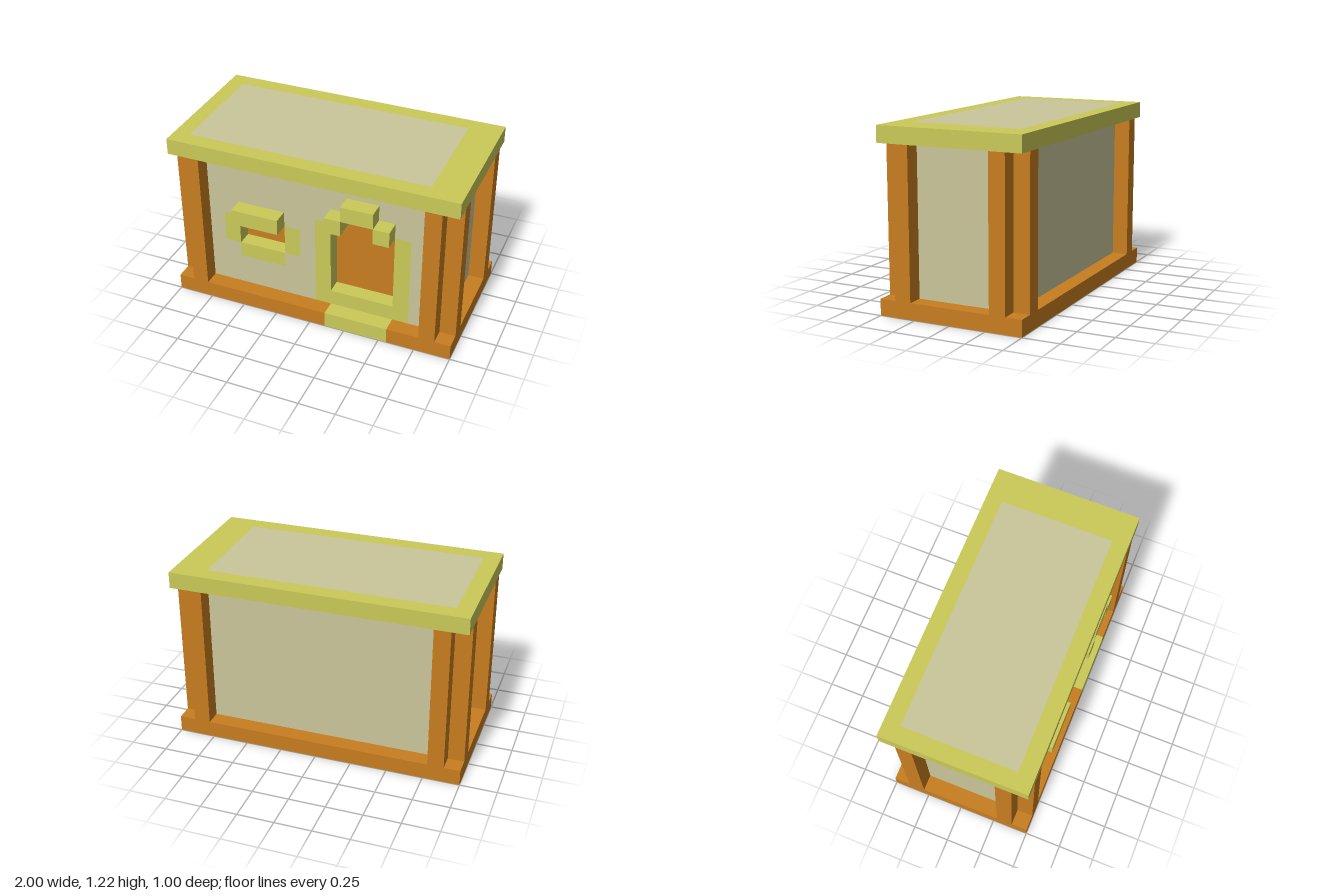
import * as THREE from 'three';

const U = 1 / 9; // block size

export function createModel() {
  const material = (name, color) => {
    const m = new THREE.MeshStandardMaterial({ color });
    m.name = name;
    return m;
  };
  const timber = material('orange timber', 0xc87d20);
  const trim = material('yellow trim', 0xcaca59);
  const plaster = material('pale plaster', 0xcac69a);

  const model = new THREE.Group();
  model.name = 'house';
  const group = (name) => {
    const g = new THREE.Group();
    g.name = name;
    model.add(g);
    return g;
  };

  // Box between two corners, in block units
  const box = (parent, name, mat, [x0, x1], [y0, y1], [z0, z1]) => {
    const geo = new THREE.BoxGeometry((x1 - x0) * U, (y1 - y0) * U, (z1 - z0) * U);
    const mesh = new THREE.Mesh(geo, mat);
    mesh.name = name;
    mesh.position.set((x0 + x1) / 2 * U, (y0 + y1) / 2 * U, (z0 + z1) / 2 * U);
    parent.add(mesh);
  };
  const points = (list) => list.map(([x, y]) => new THREE.Vector2(x * U, y * U));

  // Foundation ring with the door step
  const base = group('foundation');
  box(base, 'backBeam', timber, [-9, 9], [0, 1], [-4.5, -3.5]);
  box(base, 'rightBeam', timber, [-9, -8], [0, 1], [-3.5, 3.5]);
  box(base, 'leftBeam', timber, [8, 9], [0, 1], [-3.5, 3.5]);
  box(base, 'frontBeamRight', timber, [-9, 1], [0, 1], [3.5, 4.5]);
  box(base, 'frontBeamLeft', timber, [5, 9], [0, 1], [3.5, 4.5]);
  box(base, 'doorStep', trim, [1, 5], [0, 1], [3.5, 4.5]);

  // Floor, leaving a gap along the left end
  const floor = group('floor');
  box(floor, 'floorMiddle', plaster, [-8, 6], [0, 1], [-2.5, 2.5]);
  box(floor, 'floorBack', plaster, [-8, 7], [0, 1], [-3.5, -2.5]);
  box(floor, 'floorFront', plaster, [-8, 0], [0, 1], [2.5, 3.5]);
  box(floor, 'doorFooting', trim, [0, 6], [0, 1], [2.5, 3.5]);
  box(floor, 'cornerFooting', timber, [6, 7], [0, 1], [2.5, 3.5]);

  // Walls: solid core and a front layer cut for the door and window
  const walls = group('walls');
  box(walls, 'wallCore', plaster, [-8, 8], [1, 10], [-3.5, 2.5]);
  const face = new THREE.Shape(points([
    [-8, 1], [0, 1], [0, 7], [1, 7], [1, 8], [2, 8], [2, 9], [4, 9], [4, 8],
    [5, 8], [5, 7], [6, 7], [6, 1], [8, 1], [8, 10], [-8, 10],
  ]));
  face.holes.push(new THREE.Path(points([
    [-5, 3], [-5, 4], [-6, 4], [-6, 6], [-5, 6], [-5, 7],
    [-2, 7], [-2, 6], [-1, 6], [-1, 4], [-2, 4], [-2, 3],
  ])));
  const frontWall = new THREE.Mesh(
    new THREE.ExtrudeGeometry(face, { depth: U, bevelEnabled: false }), plaster);
  frontWall.name = 'frontWall';
  frontWall.position.z = 2.5 * U;
  walls.add(frontWall);

  // A pair of posts at every corner, leaving the outer corner open
  const posts = group('cornerPosts');
  const span = (s, a, b) => (s > 0 ? [a, b] : [-b, -a]);
  for (const sx of [-1, 1]) {
    for (const sz of [-1, 1]) {
      box(posts, 'longSidePost', timber, span(sx, 7, 8), [1, 10], span(sz, 3.5, 4.5));
      box(posts, 'shortSidePost', timber, span(sx, 8, 9), [1, 10], span(sz, 2.5, 3.5));
    }
  }

  // Window with flush frame and projecting lintel
  const win = group('window');
  box(win, 'windowPane', timber, [-5, -2], [4, 6], [2.5, 2.55]);
  box(win, 'windowFrameRight', trim, [-6, -5], [4, 6], [2.5, 3.5]);
  box(win, 'windowFrameLeft', trim, [-2, -1], [4, 6], [2.5, 3.5]);
  box(win, 'windowSill', trim, [-5, -2], [3, 4], [2.5, 3.5]);
  box(win, 'windowLintel', trim, [-5, -2], [6, 7], [2.5, 4.5]);

  // Door with flush frame and projecting stepped arch
  const door = group('door');
  box(door, 'doorPanel', timber, [1, 5], [2, 7], [2.5, 2.55]);
  box(door, 'doorPanelTop', timber, [2, 4], [7, 8], [2.5, 2.55]);
  box(door, 'doorFrameRight', trim, [0, 1], [1, 7], [2.5, 3.5]);
  box(door, 'doorFrameLeft', trim, [5, 6], [1, 7], [2.5, 3.5]);
  box(door, 'doorSill', trim, [1, 5], [1, 2], [2.5, 3.5]);
  box(door, 'archRight', trim, [1, 2], [7, 8], [2.5, 4.5]);
  box(door, 'archLeft', trim, [4, 5], [7, 8], [2.5, 4.5]);
  box(door, 'archTop', trim, [2, 4], [8, 9], [2.5, 4.5]);

  // Roof slab: rim around an off-centre pale panel
  const roof = group('roof');
  box(roof, 'roofBackRim', trim, [-9, 9], [10, 11], [-4.5, -3.5]);
  box(roof, 'roofFrontRim', trim, [-9, 9], [10, 11], [3.5, 4.5]);
  box(roof, 'roofRightRim', trim, [-9, -8], [10, 11], [-3.5, 3.5]);
  box(roof, 'roofLeftRim', trim, [7, 9], [10, 11], [-3.5, 3.5]);
  box(roof, 'roofPanel', plaster, [-8, 7], [10, 11], [-3.5, 3.5]);

  return model;
}
